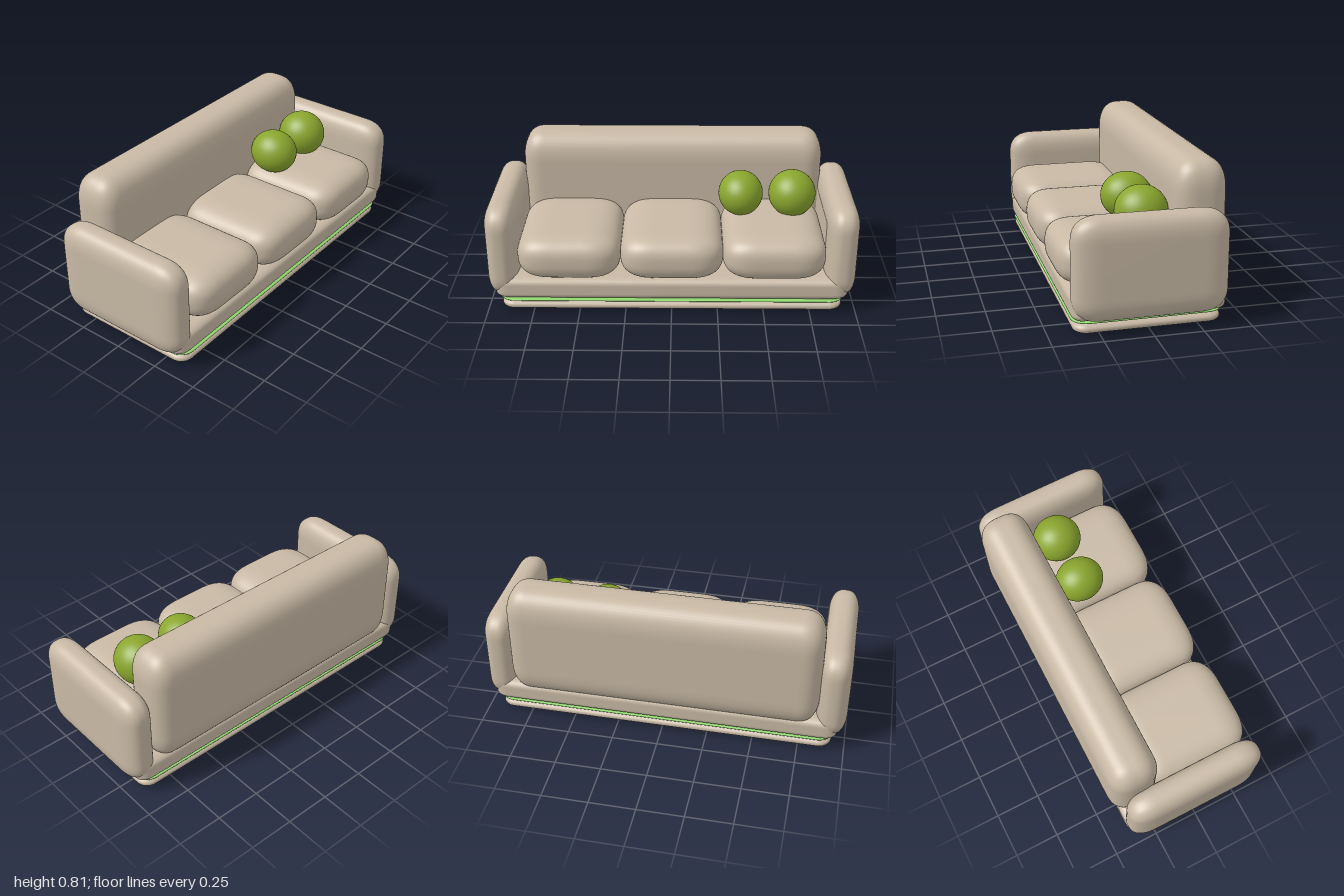
import * as THREE from 'three';
import { mergeVertices } from 'three/addons/utils/BufferGeometryUtils.js';

const fabric = new THREE.MeshStandardMaterial({ name: 'beige fabric', color: 0xc8b9a5 });
const piping = new THREE.MeshStandardMaterial({ name: 'light green piping', color: 0x8ed66c });
const olive = new THREE.MeshStandardMaterial({ name: 'olive green fabric', color: 0x8aa62e });

// Upholstered block: a box between min and max with its own rounding radius per axis;
// power 2 gives round edges, higher powers give fuller, squarer ones.
function softBlock(min, max, radii, power = 2, n = 17) {
  const half = min.map((v, i) => (max[i] - v) / 2);
  const mid = min.map((v, i) => (max[i] + v) / 2);
  const box = new THREE.BoxGeometry(2, 2, 2, n, n, n);
  const pos = box.attributes.position;
  for (let i = 0; i < pos.count; i++) {
    const raw = [pos.getX(i), pos.getY(i), pos.getZ(i)];
    // The middle strip of each side stays flat and stretches with the block.
    const u = raw.map(v => Math.tan(Math.max(0, (Math.abs(v) - 1 / n) / (1 - 1 / n)) * Math.PI / 4));
    const len = Math.pow(u.reduce((s, v) => s + Math.pow(v, power), 0), 1 / power);
    const p = raw.map((v, a) =>
      mid[a] + Math.sign(v) * (half[a] - radii[a] + radii[a] * u[a] / len));
    pos.setXYZ(i, ...p);
  }
  box.deleteAttribute('uv');
  box.deleteAttribute('normal');
  const geometry = mergeVertices(box, 1e-5);
  geometry.computeVertexNormals();
  return geometry;
}

export function createModel() {
  const sofa = new THREE.Group();
  sofa.name = 'sofa';
  const add = (name, geometry, material) => {
    const mesh = new THREE.Mesh(geometry, material);
    mesh.name = name;
    sofa.add(mesh);
    return mesh;
  };

  // Plinth, piping and seat frame
  add('plinth', softBlock([-0.927, 0.003, -0.372], [0.927, 0.066, 0.378], [0.07, 0.03, 0.07]), fabric);
  add('piping', softBlock([-0.932, 0.062, -0.376], [0.932, 0.082, 0.384], [0.08, 0.01, 0.08]), piping);
  add('seatFrame', softBlock([-0.955, 0.078, -0.388], [0.955, 0.205, 0.39], [0.08, 0.04, 0.06], 2.3), fabric);

  // Backrest
  add('backrest', softBlock([-0.846, 0.165, -0.425], [0.846, 0.81, -0.15], [0.12, 0.17, 0.125], 2.5), fabric);

  // Armrests
  for (const [name, x0, x1] of [['rightArm', -1, -0.83], ['leftArm', 0.83, 1]]) {
    add(name, softBlock([x0, 0.08, -0.388], [x1, 0.603, 0.392], [0.083, 0.13, 0.15], 2.5), fabric);
  }

  // Seat cushions
  for (const x of [-0.553, 0, 0.553]) {
    add('seatCushion', softBlock([x - 0.278, 0.195, -0.22], [x + 0.278, 0.442, 0.424],
      [0.2, 0.123, 0.16], 2.7), fabric);
  }

  // Ball pillows
  for (const [x, r] of [[0.38, 0.123], [0.665, 0.13]]) {
    const pillow = add('ballPillow', new THREE.SphereGeometry(1, 40, 28), olive);
    pillow.scale.set(r, r, 0.136);
    pillow.position.set(x, 0.535, -0.02);
  }
  return sofa;
}
